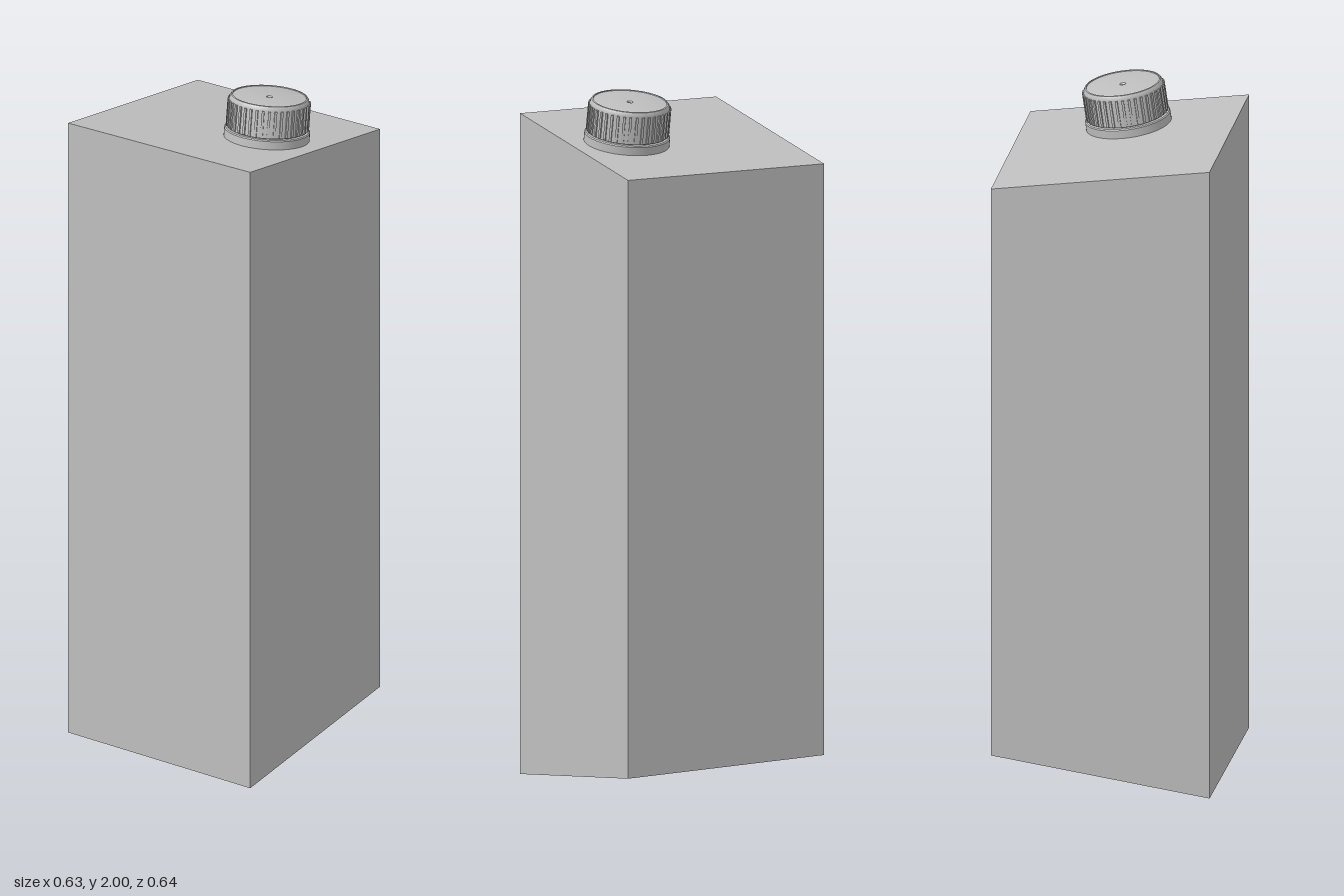
import * as THREE from 'three';
import { toCreasedNormals } from 'three/addons/utils/BufferGeometryUtils.js';

const grey = new THREE.MeshStandardMaterial({ color: 0xbfbfbf });
grey.name = 'plain grey';

function part(name, geometry) {
  const mesh = new THREE.Mesh(geometry, grey);
  mesh.name = name;
  return mesh;
}

// Turned part from [radius, height] pairs, listed from the bottom up
function turned(name, profile) {
  const points = profile.map(([r, y]) => new THREE.Vector2(r, y));
  return part(name, toCreasedNormals(new THREE.LatheGeometry(points, 72), 0.5));
}

// Sloping planes that cut the carton at its top and bottom
const topAt = (x, z) => 1.861 - 0.143 * x + 0.016 * z;
const bottomAt = (x, z) => 0.055 + 0.143 * x - 0.016 * z;

function cartonBody() {
  const geometry = new THREE.BoxGeometry(0.63, 1, 0.636);
  const p = geometry.attributes.position;
  for (let i = 0; i < p.count; i++) {
    const x = p.getX(i), z = p.getZ(i);
    p.setY(i, p.getY(i) > 0 ? topAt(x, z) : bottomAt(x, z));
  }
  geometry.computeVertexNormals();
  return part('cartonBody', geometry);
}

function screwCap() {
  const cap = new THREE.Group();
  cap.name = 'screwCap';

  // Collar resting on the carton
  cap.add(turned('collar', [
    [0.122, -0.002], [0.122, 0.024], [0.119, 0.027], [0.105, 0.027],
  ]));

  // Cap shell with a rounded rim, a shallow top panel and a small central dimple
  cap.add(turned('capShell', [
    [0.108, 0.03], [0.115, 0.03], [0.114, 0.11], [0.1125, 0.118], [0.109, 0.123],
    [0.105, 0.124], [0.1045, 0.121], [0.009, 0.121], [0.006, 0.117], [0, 0.116],
  ]));
  cap.add(turned('capNeck', [[0.108, 0.02], [0.108, 0.031]]));

  // Grip ribs around the side
  const ribs = new THREE.Group();
  ribs.name = 'gripRibs';
  const ribGeometry = new THREE.BoxGeometry(0.008, 0.078, 0.007);
  const count = 40;
  for (let i = 0; i < count; i++) {
    const a = (i / count) * Math.PI * 2;
    const rib = part('gripRib', ribGeometry);
    rib.position.set(Math.cos(a) * 0.1145, 0.071, Math.sin(a) * 0.1145);
    rib.rotation.y = -a;
    ribs.add(rib);
  }
  cap.add(ribs);

  // Stand it square to the sloping top
  const x = 0.001, z = 0.148;
  cap.position.set(x, topAt(x, z), z);
  cap.rotation.set(-0.016, 0, -0.142);
  return cap;
}

export function createModel() {
  const model = new THREE.Group();
  model.name = 'drinkCarton';
  model.add(cartonBody(), screwCap());
  return model;
}
